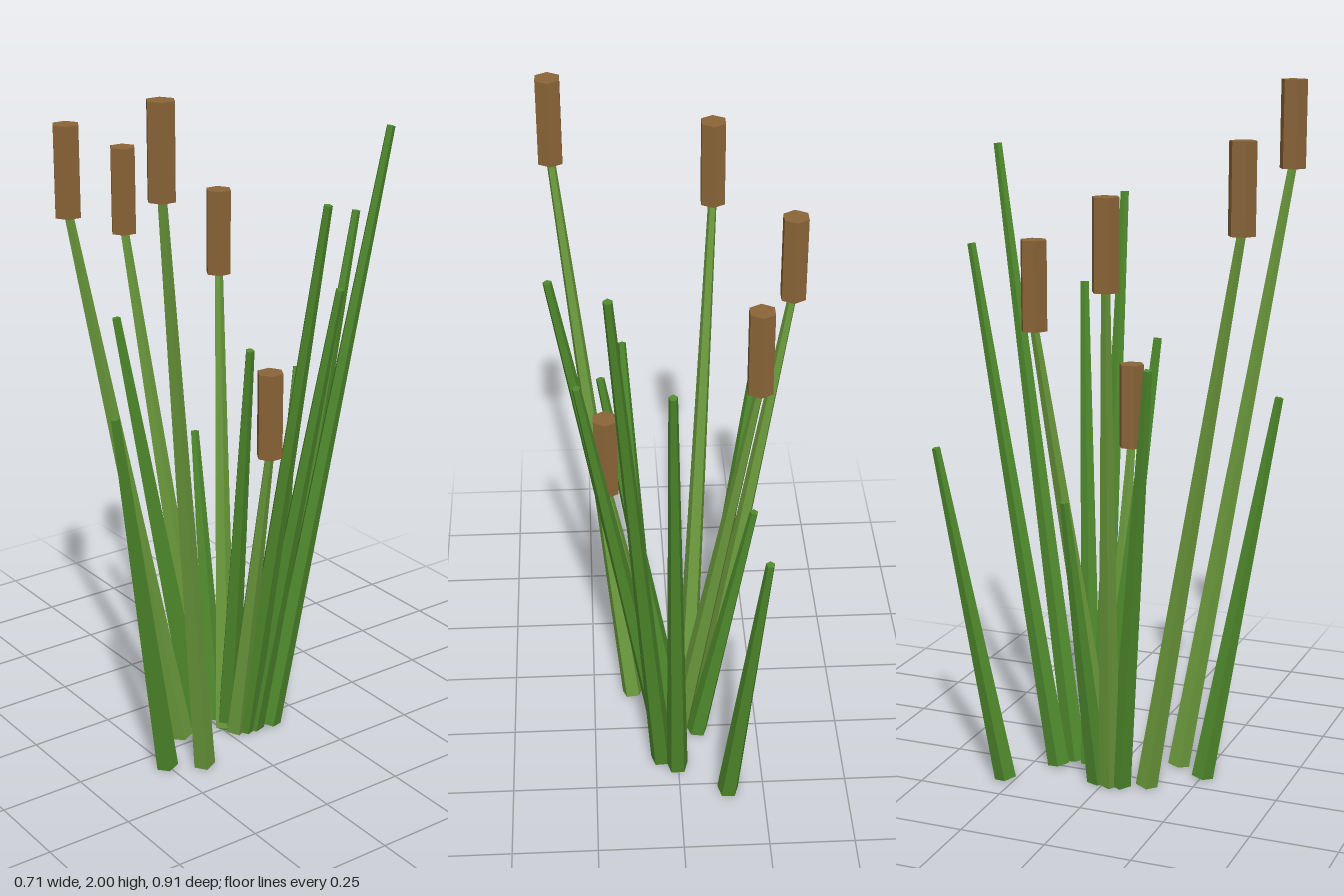
import * as THREE from 'three';

const material = (color) => new THREE.MeshStandardMaterial({ color, flatShading: true });

// Base x, z, then tip x, y, z
const REEDS = [
  [-0.143, -0.279, -0.228, 1.0, -0.438],
  [0.003, -0.173, 0.028, 1.54, -0.442],
  [0.05, -0.138, 0.183, 1.81, -0.428],
  [0.04, -0.083, 0.268, 1.41, -0.194],
  [0.037, -0.055, 0.333, 1.67, -0.094],
  [-0.008, -0.022, 0.204, 1.27, 0.058],
  [-0.065, -0.02, -0.22, 0.88, -0.055],
  [-0.067, 0.05, -0.242, 1.27, 0.195],
  [0.074, 0.253, 0.136, 1.14, 0.443],
];
const CATTAILS = [
  [-0.008, -0.014, -0.217, 1.36, -0.14],
  [0.025, -0.03, 0.195, 0.955, -0.018],
  [-0.074, 0.02, -0.325, 1.495, 0.11],
  [-0.04, 0.122, -0.125, 1.63, 0.41],
  [0.128, 0.16, 0.322, 1.765, 0.413],
];
const HEAD_HEIGHT = 0.245;
const UP = new THREE.Vector3(0, 1, 0);

// Tapered five-sided stalk leaning from base to tip
function stalk([bx, bz, tx, ty, tz], name, mat) {
  const base = new THREE.Vector3(bx, 0.006, bz);
  const tip = new THREE.Vector3(tx, ty, tz);
  const axis = tip.clone().sub(base);
  const mesh = new THREE.Mesh(new THREE.CylinderGeometry(0.0125, 0.033, axis.length(), 5), mat);
  mesh.quaternion.setFromUnitVectors(UP, axis.normalize());
  mesh.position.copy(base).add(tip).multiplyScalar(0.5);
  mesh.name = name;
  return mesh;
}

export function createModel() {
  const group = new THREE.Group();
  group.name = 'cattailClump';
  const reedMat = material(0x4f8a2c);
  const stemMat = material(0x6b9a3c);
  const headMat = material(0x8b6538);

  // Bare reeds
  for (const r of REEDS) group.add(stalk(r, 'reed', reedMat));

  // Stems with upright seed heads
  const headGeo = new THREE.CylinderGeometry(0.038, 0.038, HEAD_HEIGHT, 6);
  for (const c of CATTAILS) {
    const cattail = new THREE.Group();
    cattail.name = 'cattail';
    const head = new THREE.Mesh(headGeo, headMat);
    head.name = 'seedHead';
    head.position.set(c[2], c[3] - 0.01 + HEAD_HEIGHT / 2, c[4]);
    cattail.add(stalk(c, 'stem', stemMat), head);
    group.add(cattail);
  }
  return group;
}
